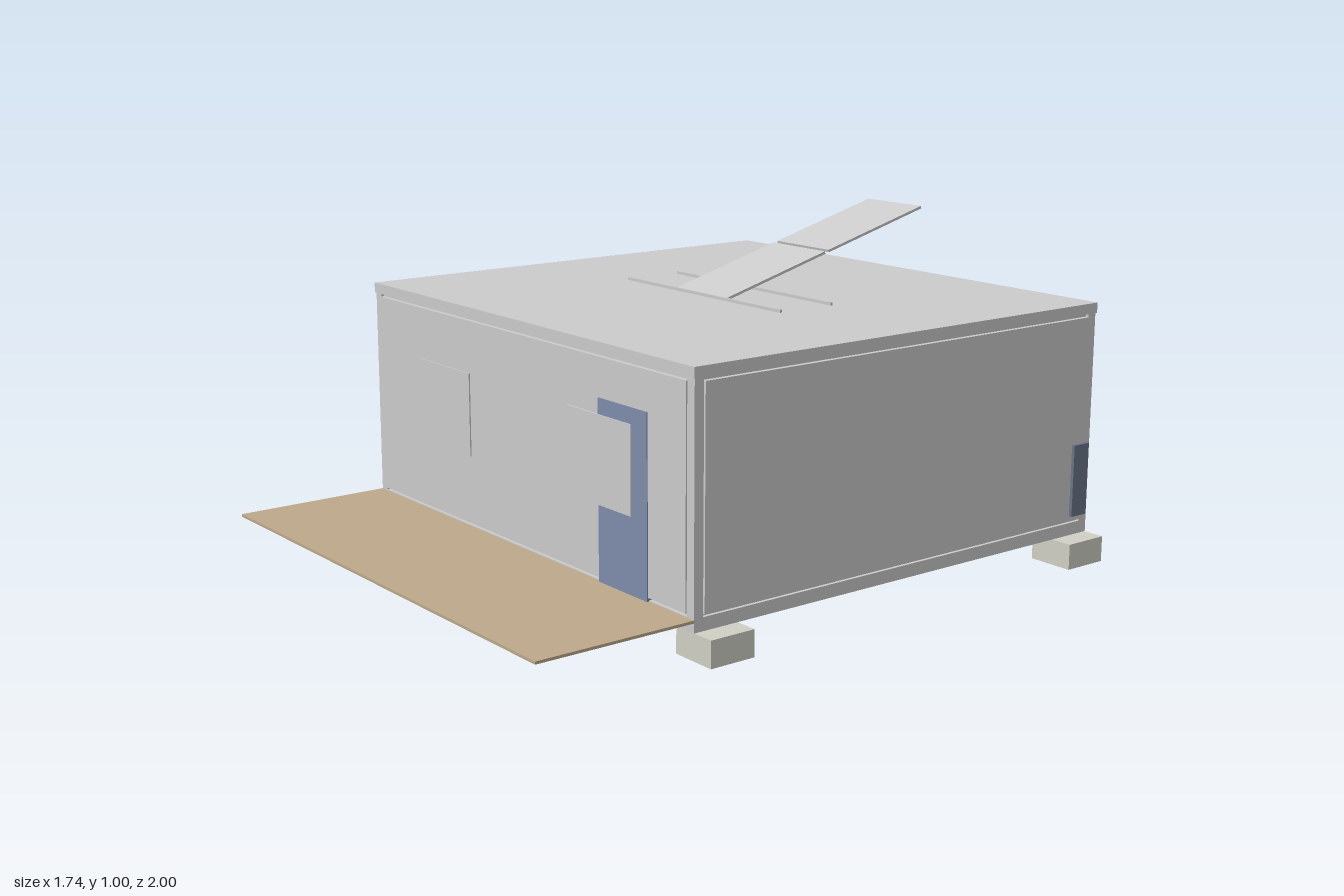
import * as THREE from 'three';

const material = (color) => new THREE.MeshStandardMaterial({ color, flatShading: true });

export function createModel() {
  const model = new THREE.Group();
  const grey = material(0xcccccc);
  const concrete = material(0xd0d0c6);
  const wood = material(0xbda98b);
  const floorBrown = material(0xc9c0b0);
  const blue = material(0x7f8cab);
  const darkBlue = material(0x6a7488);

  // Box given by its limits on each axis
  function box(name, mat, [x0, x1], [y0, y1], [z0, z1]) {
    const mesh = new THREE.Mesh(new THREE.BoxGeometry(x1 - x0, y1 - y0, z1 - z0), mat);
    mesh.position.set((x0 + x1) / 2, (y0 + y1) / 2, (z0 + z1) / 2);
    mesh.name = name;
    model.add(mesh);
    return mesh;
  }

  const back = -0.99, front = 0.512;

  // Foundation blocks in two rows
  for (const z of [-0.917, 0.438]) {
    for (let i = -2; i <= 2; i++) {
      box('foundationBlock', concrete, [i * 0.398 - 0.072, i * 0.398 + 0.072], [0, 0.077], [z - 0.072, z + 0.072]);
    }
  }

  // Base frame, floor, core and roof
  box('floor', floorBrown, [-0.77, 0.77], [0.077, 0.09], [back + 0.03, front - 0.03]);
  for (const s of [-1, 1]) {
    box('baseSideBeam', grey, [s * 0.785 - 0.015, s * 0.785 + 0.015], [0.077, 0.115], [back, front]);
  }
  box('baseBackBeam', grey, [-0.77, 0.77], [0.077, 0.115], [back, back + 0.03]);
  box('baseFrontBeam', grey, [-0.77, 0.77], [0.077, 0.115], [front - 0.03, front]);
  box('cabinCore', grey, [-0.79, 0.79], [0.09, 0.75], [back + 0.01, front - 0.01]);
  box('roof', grey, [-0.803, 0.803], [0.745, 0.776], [back - 0.004, front + 0.004]);

  // Corner posts
  for (const x of [-0.785, 0.785]) {
    for (const z of [back + 0.015, front - 0.015]) {
      box('cornerPost', grey, [x - 0.015, x + 0.015], [0.115, 0.745], [z - 0.015, z + 0.015]);
    }
  }

  // Wall panels standing slightly proud of the frame
  const panelY = [0.123, 0.736];
  box('frontWall', grey, [-0.77, 0.77], panelY, [front - 0.02, front + 0.004]);
  box('backWall', grey, [-0.77, 0.77], panelY, [back - 0.005, back + 0.02]);
  for (const s of [-1, 1]) {
    box('sideWall', grey, [s * 0.792 - 0.012, s * 0.792 + 0.012], panelY, [back + 0.032, front - 0.032]);
  }

  // Door, windows and the wall-mounted unit
  box('door', blue, [0.393, 0.61], [0.11, 0.625], [front - 0.01, front + 0.007]);
  const windowY = [0.33, 0.58];
  box('frontWindow', grey, [0.25, 0.543], windowY, [front, front + 0.01]);
  box('frontWindow', grey, [-0.547, -0.253], windowY, [front, front + 0.008]);
  box('backWindow', grey, [-0.146, 0.146], windowY, [back - 0.009, back]);
  box('wallUnit', darkBlue, [0.795, 0.814], [0.138, 0.357], [-0.973, -0.91]);

  // Front deck
  box('deck', wood, [-0.8, 0.8], [0.104, 0.112], [front, 1]);

  // Roof rails and tilted panels
  for (const z of [-0.145, -0.34]) {
    box('roofRail', grey, [-0.365, 0.365], [0.774, 0.785], [z - 0.004, z + 0.004]);
  }
  for (const [y, z] of [[0.832, -0.338], [0.94, -0.743]]) {
    const panel = new THREE.Mesh(new THREE.BoxGeometry(0.24, 0.008, 0.404), grey);
    panel.position.set(0, y, z);
    panel.rotation.x = Math.PI / 12;
    panel.name = 'solarPanel';
    model.add(panel);
  }

  return model;
}
